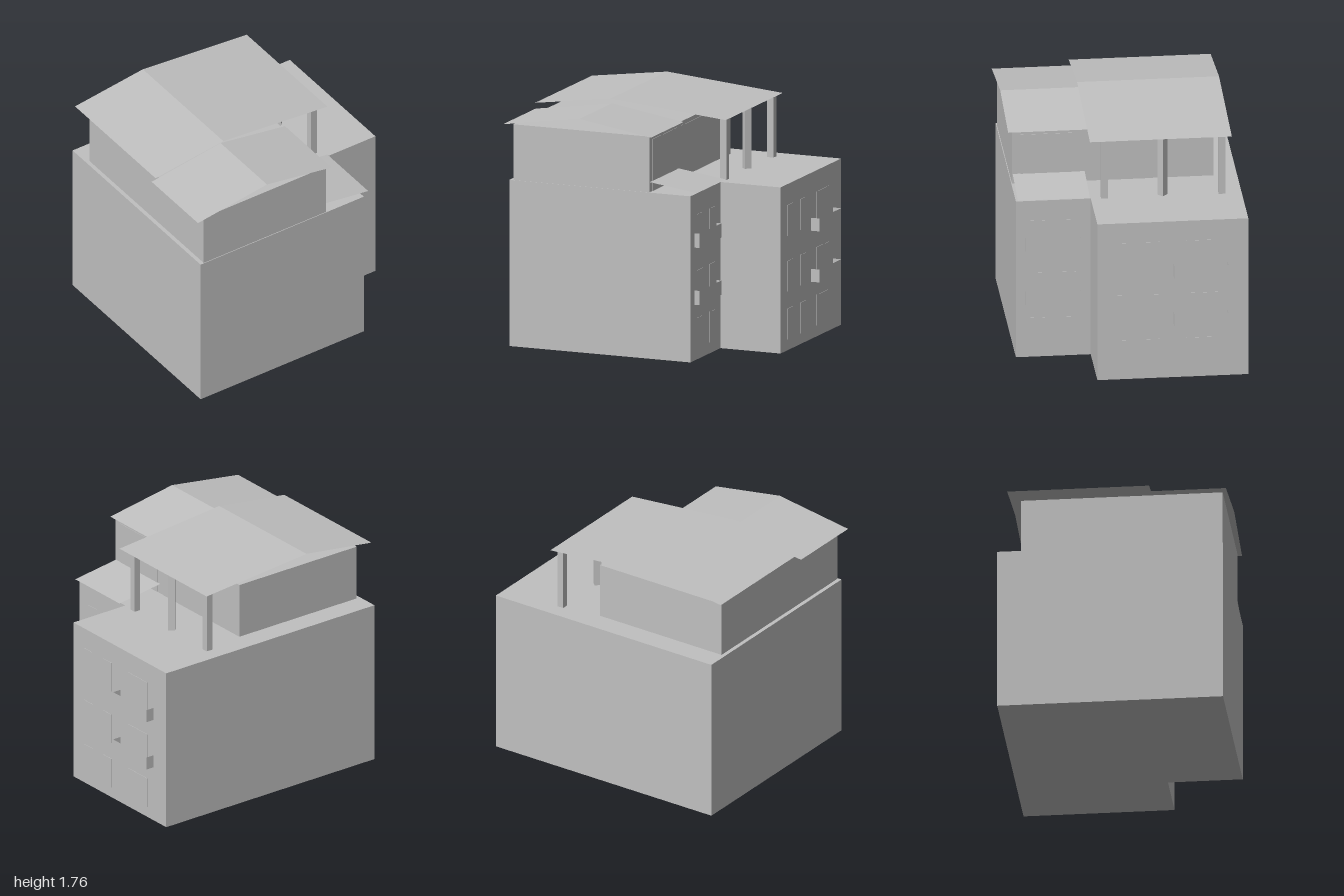
import * as THREE from 'three';

export function createModel() {
  const model = new THREE.Group();
  model.name = 'apartmentBlock';
  const grey = new THREE.MeshStandardMaterial({ color: 0xc0c0c0 });
  grey.name = 'plaster grey';
  const greySheet = new THREE.MeshStandardMaterial({ color: 0xc0c0c0, side: THREE.DoubleSide });
  greySheet.name = 'plaster grey sheet';

  const add = (name, geometry, material = grey, parent = model) => {
    const mesh = new THREE.Mesh(geometry, material);
    mesh.name = name;
    parent.add(mesh);
    return mesh;
  };

  // Box given by its limits on each axis
  const box = (name, x0, x1, y0, y1, z0, z1) => {
    const g = new THREE.BoxGeometry(x1 - x0, y1 - y0, z1 - z0);
    g.translate((x0 + x1) / 2, (y0 + y1) / 2, (z0 + z1) / 2);
    return add(name, g);
  };

  // Open sheet swept along z (or y) from a polyline of [a, b] points
  const sheet = (name, points, from, to, place, parent = model) => {
    const positions = [];
    for (let i = 0; i < points.length - 1; i++) {
      const [p, q] = [points[i], points[i + 1]];
      const [a, b, c, d] = [place(p, from), place(q, from), place(q, to), place(p, to)];
      positions.push(...a, ...d, ...c, ...a, ...c, ...b);
    }
    const g = new THREE.BufferGeometry();
    g.setAttribute('position', new THREE.Float32BufferAttribute(positions, 3));
    g.computeVertexNormals();
    return add(name, g, greySheet, parent);
  };
  const alongZ = ([x, y], z) => [x, y, z];
  const alongY = ([x, z], y) => [x, y, z];

  // L-shaped main block
  const plan = new THREE.Shape([
    [-0.96, -0.8], [0.46, -0.8], [0.46, -0.26], [0.93, -0.26], [0.93, 0.83], [-0.96, 0.83],
  ].map(([x, y]) => new THREE.Vector2(x, y)));
  const block = new THREE.ExtrudeGeometry(plan, { depth: 1.22, bevelEnabled: false });
  block.rotateX(-Math.PI / 2);
  add('mainBlock', block);

  // Penthouse with two wide doorways
  box('penthouse', -0.93, 0.135, 1.22, 1.63, -0.66, 0.795);
  for (const z of [0.305, -0.21]) {
    box('penthouseDoor', 0.135, 0.138, 1.22, 1.6, z, z + 0.43);
  }

  // Thin pitched roofs and the sloping canopy
  sheet('mainRoof', [[-0.99, 1.68], [-0.4, 1.76], [0.505, 1.68]], -0.755, 0.27, alongZ);
  sheet('frontRoof', [[-1, 1.63], [-0.4, 1.72], [0.16, 1.63]], 0.235, 0.825, alongZ);
  sheet('terraceCanopy', [[0.135, 1.295], [0.505, 1.245]], 0.27, 0.79, alongZ);

  // Roof posts, the middle one turned by 45 degrees
  [[0.447, 0.16, 0], [0.439, -0.26, Math.PI / 4], [0.447, -0.688, 0]].forEach(([x, z, turn]) => {
    const post = add('roofPost', new THREE.BoxGeometry(0.05, 0.445, 0.05));
    post.position.set(x, 1.4425, z);
    post.rotation.y = turn;
  });

  // Windows on the two side walls, three storeys
  const storeys = [[0.08, 0.305], [0.43, 0.655], [0.84, 1.065]];
  const columns = [
    [0.46, 0.59, 0.695], [0.46, 0.365, 0.465],
    [0.93, 0.035, 0.135], [0.93, -0.19, -0.09], [0.93, -0.61, -0.385],
  ];
  for (const [y0, y1] of storeys) {
    for (const [x, z0, z1] of columns) box('window', x, x + 0.003, y0, y1, z0, z1);
  }

  // Balcony parapets: a front panel and two ends, open above and below
  const balconies = [
    [0.46, 0.5, 0.41, 0.515, 0.335, 0.73], [0.46, 0.5, 0.83, 0.935, 0.335, 0.73],
    [0.93, 0.995, 0.42, 0.515, -0.68, -0.29], [0.93, 0.995, 0.795, 0.89, -0.68, -0.29],
  ];
  for (const [x0, x1, y0, y1, z0, z1] of balconies) {
    sheet('balconyParapet', [[x0, z1], [x1, z1], [x1, z0], [x0, z0]], y0, y1, alongY);
  }

  return model;
}
